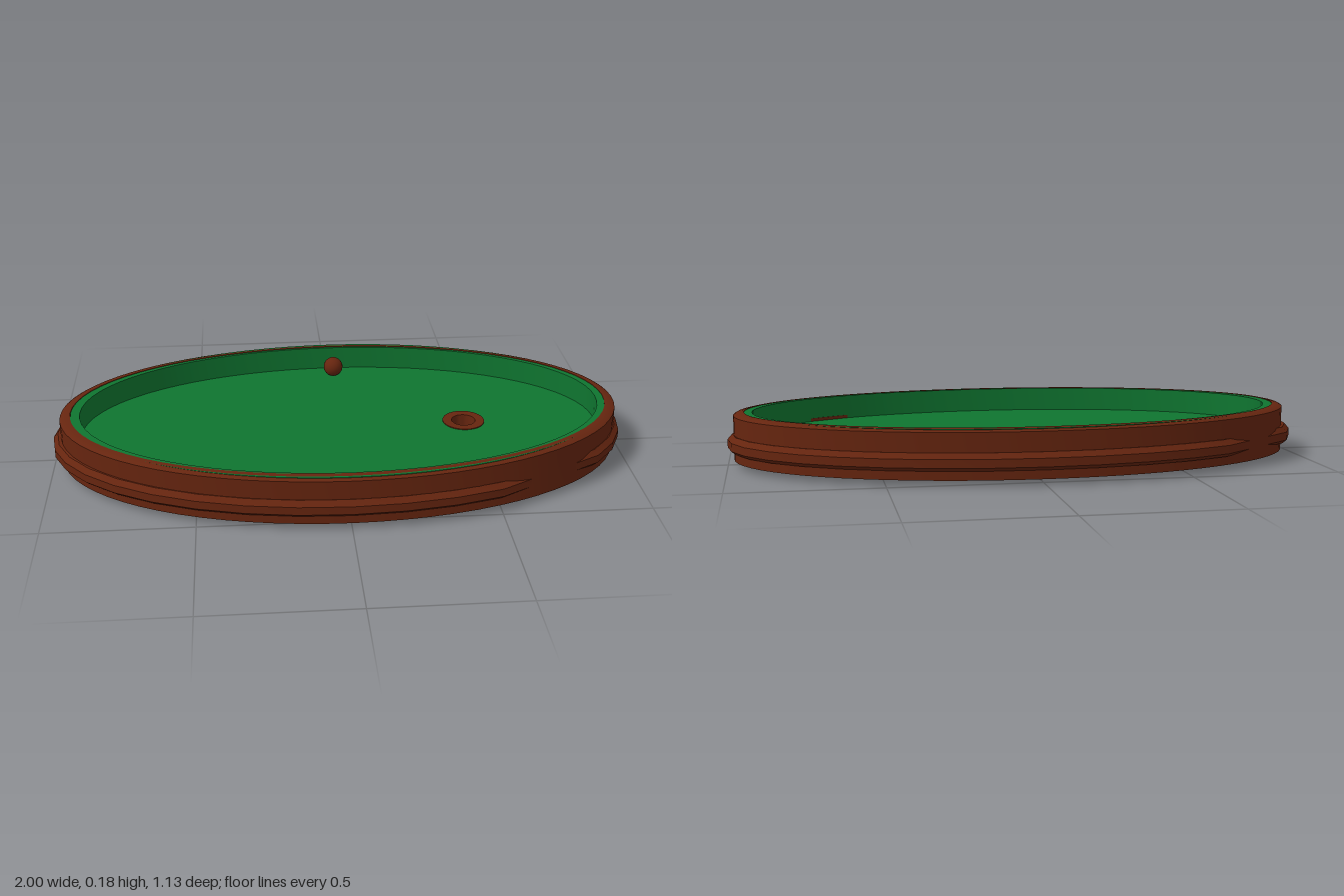
import * as THREE from 'three';
import { toCreasedNormals } from 'three/addons/utils/BufferGeometryUtils.js';

const FLOOR_Y = 0.097;
const CUP = { x: 0.447, z: -0.002 };

// Evenly spaced angles around the oval, leaving out any listed ones (degrees)
function angleSteps(count, skip = []) {
  return Array.from({ length: count }, (_, i) => (i * 360) / count)
    .filter((a) => !skip.includes(a))
    .map(THREE.MathUtils.degToRad);
}

// Closed oval ring: the profile is a list of [offset from the oval, y]
function ovalRing(rx, rz, profile, angles) {
  const points = [...profile, profile[0]].map(([d, y]) => new THREE.Vector2(1 + d, y));
  const geometry = new THREE.LatheGeometry(points, angles.length);
  const pos = geometry.attributes.position;
  for (let i = 0; i < pos.count; i++) {
    const a = angles[Math.floor(i / points.length) % angles.length];
    const p = points[i % points.length];
    pos.setXYZ(i, (rx + p.x - 1) * Math.sin(a), p.y, (rz + p.x - 1) * Math.cos(a));
  }
  return toCreasedNormals(geometry, 0.45);
}

export function createModel() {
  const model = new THREE.Group();
  const wood = new THREE.MeshStandardMaterial({ color: 0x66250f });
  wood.name = 'brown wood';
  const felt = new THREE.MeshStandardMaterial({ color: 0x0f7530, side: THREE.DoubleSide });
  felt.name = 'green felt';

  const add = (name, geometry, material, x = 0, y = 0, z = 0) => {
    const mesh = new THREE.Mesh(geometry, material);
    mesh.name = name;
    mesh.position.set(x, y, z);
    model.add(mesh);
  };

  // Wooden wall with a bevelled top edge
  const fine = angleSteps(72);
  add('wall', ovalRing(0.975, 0.549, [
    [-0.036, 0.02], [0, 0.02], [0, 0.173], [-0.008, 0.178], [-0.03, 0.183], [-0.036, 0.183],
  ], fine), wood, 0.004);

  // Coarser moulding around the outside
  add('moulding', ovalRing(0.98, 0.547, [
    [-0.03, 0.05], [0.006, 0.05], [0.02, 0.062], [0.02, 0.09], [0.004, 0.108], [-0.03, 0.108],
  ], angleSteps(36, [40, 50, 230, 240])), wood);

  // Felt lining on the inside of the wall
  add('lining', ovalRing(0.92, 0.516, [
    [-0.011, 0.022], [0.021, 0.022], [0.021, 0.181], [-0.011, 0.181],
  ], fine), felt, 0.007);

  // Felt floor with an opening for the cup
  const floor = new THREE.Shape();
  floor.absellipse(0.007, 0, 0.914, 0.51, 0, Math.PI * 2);
  const opening = new THREE.Path();
  opening.absarc(CUP.x, -CUP.z, 0.06, 0, Math.PI * 2, true);
  floor.holes.push(opening);
  add('floor', new THREE.ShapeGeometry(floor, 36).rotateX(-Math.PI / 2), felt, 0, FLOOR_Y, 0);

  // Hollow cup below the floor, with a flat collar
  const cup = [[0, 0.018], [0.074, 0.018], [0.074, 0.1], [0.042, 0.1], [0.042, 0.045], [0, 0.045]]
    .map(([r, y]) => new THREE.Vector2(r, y));
  add('cup', toCreasedNormals(new THREE.LatheGeometry(cup, 32), 0.5), wood, CUP.x, 0, CUP.z);

  // Square plate carrying the cup
  add('cupBase', new THREE.BoxGeometry(0.155, 0.018, 0.176), wood, 0.453, 0.009, -0.022);

  // Ball resting by the back wall
  add('ball', new THREE.SphereGeometry(0.036, 20, 14), wood, 0.014, FLOOR_Y + 0.033, -0.442);

  return model;
}
